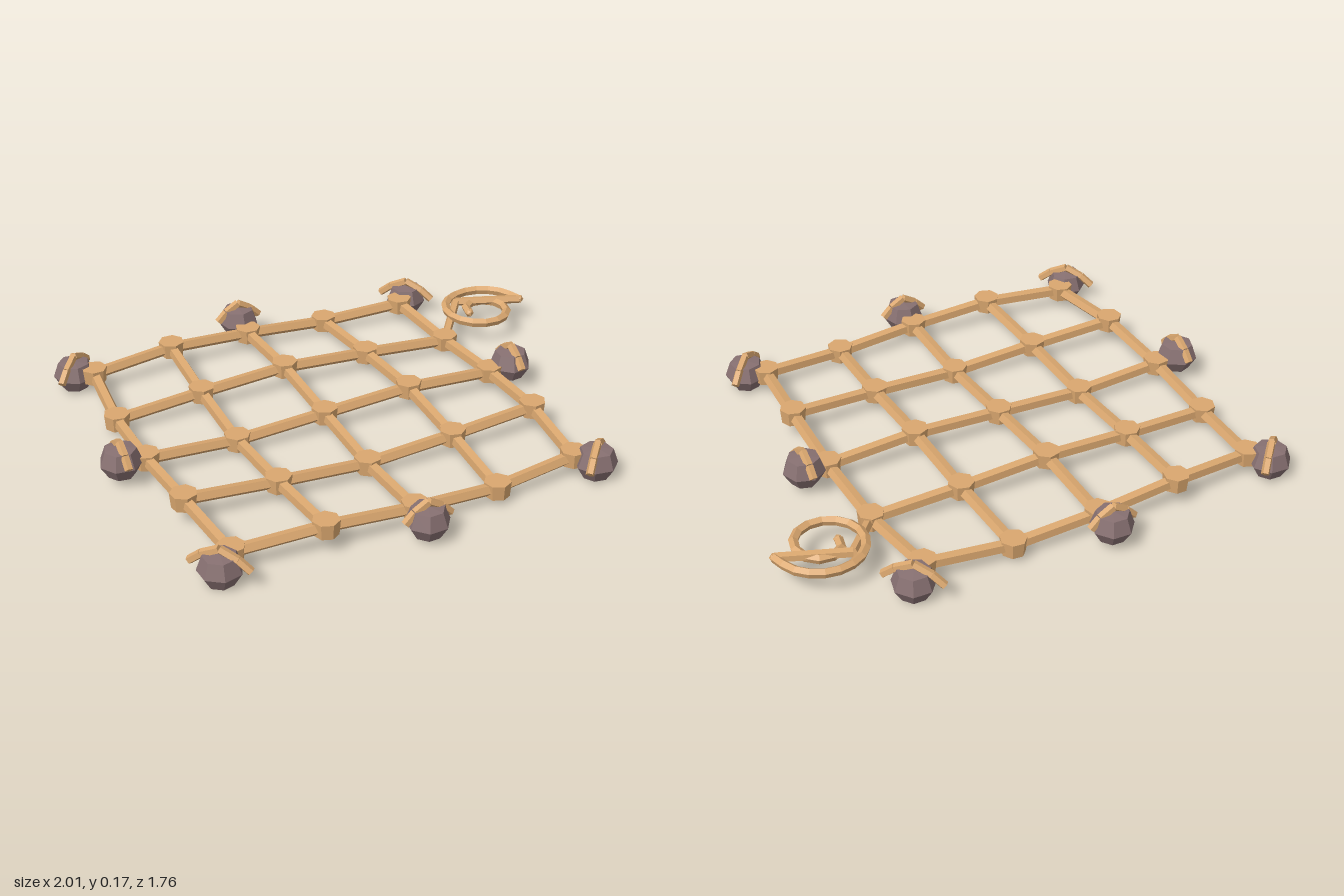
import * as THREE from 'three';

const ropeMat = new THREE.MeshStandardMaterial({ color: 0xdaa76f });
ropeMat.name = 'rope tan';
const stoneMat = new THREE.MeshStandardMaterial({ color: 0x877071 });
stoneMat.name = 'stone mauve';

// Faceted mesh: split the vertices so every face has its own normal
function facet(geometry, material, name) {
  const g = geometry.index ? geometry.toNonIndexed() : geometry;
  g.computeVertexNormals();
  const mesh = new THREE.Mesh(g, material);
  mesh.name = name;
  return mesh;
}

// Straight five-sided rope between two points, one face up and tipped slightly to -x or -z
const UP = new THREE.Vector3(0, 1, 0);
function strand(a, b, radius, name) {
  const y = b.clone().sub(a);
  const mesh = facet(new THREE.CylinderGeometry(radius, radius, y.length(), 5), ropeMat, name);
  y.normalize();
  const x = new THREE.Vector3().crossVectors(y, UP).normalize();
  const z = new THREE.Vector3().crossVectors(x, y);
  mesh.quaternion.setFromRotationMatrix(new THREE.Matrix4().makeBasis(x, y, z));
  const tip = Math.abs(y.x) > Math.abs(y.z) ? -10 : 10;
  mesh.rotateY(THREE.MathUtils.degToRad(tip - 36));
  mesh.position.copy(a).add(b).multiplyScalar(0.5);
  return mesh;
}

// Knot position in the bowed, gently rippled net; u and v run from -2 to 2
const CENTER_X = -0.12;
function node(u, v) {
  const pull = (k) => 1 - 0.06 * (k / 2) ** 2;
  return new THREE.Vector3(
    CENTER_X + u * 0.355 * pull(v),
    0.068 + 0.02 * Math.sin((u - v) * Math.PI / 2),
    v * 0.356 * pull(u) - 0.003
  );
}

// Rough stone with a rope lashed over the top, its lashing along local x
function createWeight(turn, spread) {
  const weight = new THREE.Group();
  weight.name = 'weight';
  const profile = [[0, -0.06], [0.05, -0.058], [0.08, -0.008], [0.06, 0.048], [0, 0.054]]
    .map(([r, y]) => new THREE.Vector2(r, y));
  const stone = facet(new THREE.LatheGeometry(profile, 7), stoneMat, 'stone');
  stone.rotation.y = turn;
  weight.add(stone);
  const peak = new THREE.Vector3(0, 0.072, 0);
  for (const side of [-1, 1]) {
    const knee = new THREE.Vector3(side * 0.052 * spread, 0.042, 0);
    const end = new THREE.Vector3(side * 0.088 * spread, 0.006, 0);
    weight.add(strand(peak, knee, 0.016, 'lashing'), strand(knee, end, 0.016, 'lashing'));
  }
  return weight;
}

export function createModel() {
  const model = new THREE.Group();
  model.name = 'weightedNet';

  // Net: knots joined by strands in both directions
  const net = new THREE.Group();
  net.name = 'net';
  model.add(net);
  for (let u = -2; u <= 2; u++) {
    for (let v = -2; v <= 2; v++) {
      const p = node(u, v);
      const knot = facet(new THREE.CylinderGeometry(0.05, 0.045, 0.058, 7), ropeMat, 'knot');
      knot.position.copy(p);
      knot.rotation.y = u * 1.3 + v * 0.7;
      net.add(knot);
      if (u < 2) net.add(strand(p, node(u + 1, v), 0.0235, 'crossStrand'));
      if (v < 2) net.add(strand(p, node(u, v + 1), 0.0235, 'longStrand'));
    }
  }

  // Weights at the corners and the middle of each edge
  for (let u = -1; u <= 1; u++) {
    for (let v = -1; v <= 1; v++) {
      if (!u && !v) continue;
      const corner = u !== 0 && v !== 0;
      const weight = createWeight(u * 0.8 + v * 0.5, corner ? 1.25 : 1);
      weight.position.set(
        CENTER_X + u * (corner ? 0.73 : 0.805),
        corner ? 0.06 : v === 1 ? 0.076 : 0.088,
        v * (corner ? 0.725 : 0.805) - 0.004
      );
      weight.rotation.y = Math.atan2(u, v);
      model.add(weight);
      model.add(strand(node(u * 2, v * 2), weight.position, 0.014, 'weightTie'));
    }
  }

  // Hand line: a short lead from the edge, then a loose coil
  const handLine = new THREE.Group();
  handLine.name = 'handLine';
  const bend = new THREE.Vector3(0.74, 0.095, -0.535);
  const points = [];
  for (let i = 0; i <= 18; i++) {
    const t = i / 18;
    const angle = t * Math.PI * 3;
    const r = 0.182 - 0.127 * t;
    points.push(new THREE.Vector3(0.805 + r * Math.cos(angle), 0.097 - 0.01 * t, -0.437 - r * Math.sin(angle)));
  }
  handLine.add(strand(node(2, -1), bend, 0.018, 'lead'));
  handLine.add(strand(bend, points[0], 0.018, 'lead'));
  const coil = new THREE.TubeGeometry(new THREE.CatmullRomCurve3(points), 22, 0.018, 5);
  handLine.add(facet(coil, ropeMat, 'coil'));
  // Closed ends of the coil
  for (const p of [points[0], points[18]]) {
    const end = facet(new THREE.IcosahedronGeometry(0.018, 0), ropeMat, 'coilEnd');
    end.position.copy(p);
    handLine.add(end);
  }
  model.add(handLine);

  return model;
}
